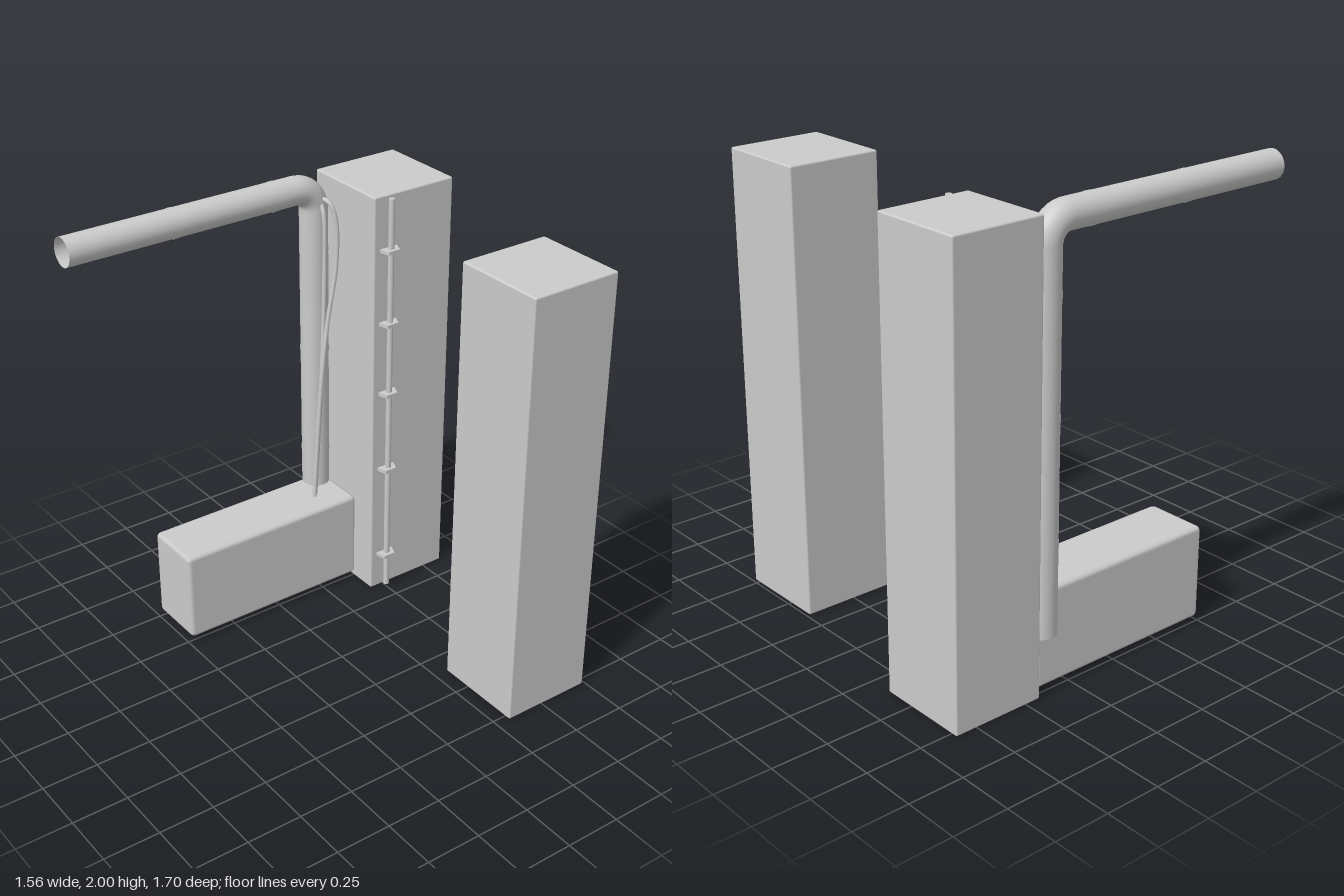
import * as THREE from 'three';
import { RoundedBoxGeometry } from 'three/addons/geometries/RoundedBoxGeometry.js';

const grey = new THREE.MeshStandardMaterial({ color: 0xcccccc });
const greyOpen = new THREE.MeshStandardMaterial({ color: 0xcccccc, side: THREE.DoubleSide });
const V = (x, y, z) => new THREE.Vector3(x, y, z);

function add(parent, name, geometry, x = 0, y = 0, z = 0, material = grey) {
  const mesh = new THREE.Mesh(geometry, material);
  mesh.name = name;
  mesh.position.set(x, y, z);
  parent.add(mesh);
  return mesh;
}

// Box given by its minimum and maximum corners, with softened edges
function block(parent, name, min, max, segments, radius) {
  const s = max.map((v, i) => v - min[i]);
  const c = max.map((v, i) => (v + min[i]) / 2);
  return add(parent, name, new RoundedBoxGeometry(...s, segments, radius), ...c);
}

export function createModel() {
  const model = new THREE.Group();
  model.name = 'pillarsAndDuct';

  // Two square pillars
  block(model, 'rightPillar', [-0.782, 0.003, -0.852], [-0.358, 1.978, -0.43], 2, 0.008);
  block(model, 'leftPillar', [0.355, 0.003, -0.738], [0.78, 1.978, -0.315], 2, 0.008);

  // Long low cabinet in front of the right pillar
  block(model, 'cabinet', [-0.762, 0.032, -0.43], [-0.478, 0.457, 0.49], 1, 0.02);

  // Open duct: up the pillar, round an elbow, then straight forward
  const px = -0.717, pz = -0.368, py = 1.935, r = 0.064, bend = 0.1;
  const path = new THREE.CurvePath();
  path.add(new THREE.LineCurve3(V(px, 0.25, pz), V(px, py - bend, pz)));
  const k = bend * 0.45;
  path.add(new THREE.CubicBezierCurve3(
    V(px, py - bend, pz), V(px, py - k, pz), V(px, py, pz + k), V(px, py, pz + bend)));
  path.add(new THREE.LineCurve3(V(px, py, pz + bend), V(px, py, 0.852)));
  add(model, 'duct', new THREE.TubeGeometry(path, 160, r, 32), 0, 0, 0, greyOpen);

  // Thin straps around the duct
  const strap = new THREE.CylinderGeometry(r + 0.0015, r + 0.0015, 0.026, 32, 1, true);
  for (const y of [0.64, 1.16, 1.65]) add(model, 'verticalStrap', strap, px, y, pz, greyOpen);
  for (const z of [-0.155, 0.345]) {
    add(model, 'horizontalStrap', strap, px, py, z, greyOpen).rotation.x = Math.PI / 2;
  }

  // Two slack cables from the elbow down to the cabinet
  const cables = [
    [V(-0.67, 1.89, -0.38), V(-0.63, 1.875, -0.395), V(-0.609, 1.8, -0.41), V(-0.606, 1.6, -0.41),
      V(-0.609, 1.3, -0.36), V(-0.602, 1, -0.32), V(-0.594, 0.44, -0.272)],
    [V(-0.67, 1.88, -0.37), V(-0.643, 1.83, -0.37), V(-0.638, 1.6, -0.37),
      V(-0.628, 1.1, -0.345), V(-0.61, 0.44, -0.288)],
  ];
  for (const points of cables) {
    add(model, 'cable', new THREE.TubeGeometry(new THREE.CatmullRomCurve3(points), 64, 0.01, 10));
  }

  // Thin conduit on the side of the right pillar
  add(model, 'conduit', new THREE.CylinderGeometry(0.0135, 0.0135, 1.95, 16), -0.33, 0.995, -0.5);

  // Tapered clips holding the conduit
  const outline = new THREE.Shape([
    [-0.35, 0.545], [-0.302, 0.526], [-0.302, 0.468], [-0.35, 0.455],
  ].reverse().map(([x, y]) => new THREE.Vector2(x, y)));
  const clip = new THREE.ExtrudeGeometry(outline, { depth: 0.016, bevelEnabled: false });
  clip.rotateX(-Math.PI / 2);
  for (const y of [0.19, 0.655, 1.045, 1.39, 1.735]) add(model, 'conduitClip', clip, 0, y - 0.008, 0);

  return model;
}
